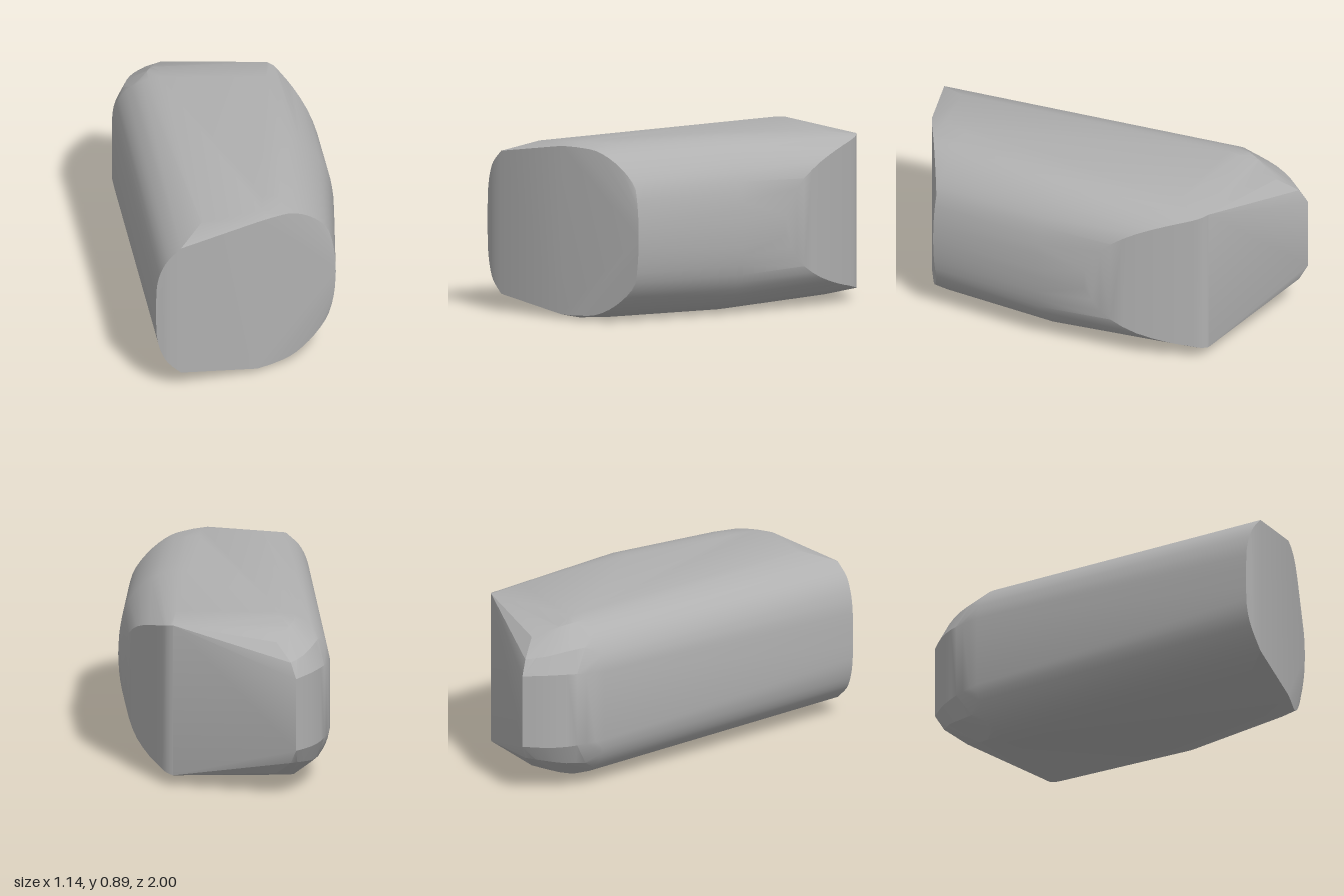
import * as THREE from 'three';
import { ConvexGeometry } from 'three/addons/geometries/ConvexGeometry.js';
import { toCreasedNormals } from 'three/addons/utils/BufferGeometryUtils.js';

const MID = 0.4475; // height of the horizontal symmetry plane

export function createModel() {
  const stone = new THREE.MeshStandardMaterial({ color: 0xb0b0b0 });
  stone.name = 'grey';
  const points = [];

  // adds a point and its twin mirrored in the middle plane
  const add = (x, y, z) => {
    points.push(new THREE.Vector3(x, y, z), new THREE.Vector3(x, 2 * MID - y, z));
  };
  // adds a smooth rim through a few points
  const rim = (list, steps = 12) => {
    const curve = new THREE.CatmullRomCurve3(list.map((p) => new THREE.Vector3(...p)), false, 'centripetal');
    curve.getPoints(steps).forEach((p) => add(p.x, p.y, p.z));
  };

  // front face: left part, ridge and slanted right part
  rim([[-0.325, 0.5, 1], [-0.32, 0.6, 1], [-0.3, 0.68, 1], [-0.265, 0.745, 0.999], [-0.2, 0.81, 0.985]]);
  [[0.18, 0.875, 0.83], [-0.1, 0.865, 0.82], [0.2, 0.893, 0.74]].forEach((p) => add(...p));
  const slant = (x) => 0.82 - 0.685 * (x - 0.2);
  const side = [[0.25, 0.875], [0.35, 0.862], [0.45, 0.8], [0.53, 0.7], [0.56, 0.57], [0.566, 0.4475]];
  rim(side.map(([x, y]) => [x, y, slant(x)]), 16);

  // rounded long side, narrowing slightly towards the middle
  const arc = [[0.2, 0.895], [0.28, 0.888], [0.37, 0.86], [0.46, 0.795], [0.53, 0.7], [0.562, 0.57], [0.57, 0.4475]];
  rim(arc.map(([x, y]) => [x, y, 0.6 - 0.03 * (x - 0.2)]), 16);
  rim(arc.map(([x, y]) => [0.2 + (x - 0.2) * 0.95, y, 0]), 16);

  // upright curved wall leading to the back corner
  rim([[0.51, 0.5, -0.26], [0.475, 0.64, -0.35], [0.42, 0.73, -0.48], [0.335, 0.79, -0.635],
    [0.27, 0.817, -0.735], [0.235, 0.832, -0.78], [0.2, 0.84, -0.8]], 14);
  add(0.2, 0.862, -0.62);

  // opposite flat side, at its rear end
  rim([[-0.57, 0.5, -0.6], [-0.57, 0.63, -0.6], [-0.555, 0.7, -0.6], [-0.52, 0.765, -0.6],
    [-0.47, 0.815, -0.6], [-0.4, 0.852, -0.6], [-0.33, 0.866, -0.6]], 14);

  // rounded rear corner and back tip
  rim([[-0.572, 0.63, -0.6], [-0.566, 0.635, -0.7], [-0.545, 0.64, -0.8], [-0.505, 0.64, -0.9], [-0.44, 0.635, -1]], 8);
  rim([[-0.52, 0.755, -0.68], [-0.5, 0.745, -0.78], [-0.465, 0.725, -0.88], [-0.41, 0.71, -0.965]], 6);
  rim([[-0.4, 0.85, -0.68], [-0.38, 0.835, -0.75], [-0.33, 0.79, -0.88]], 4);
  add(-0.33, 0.862, -0.66);

  const body = new THREE.Mesh(toCreasedNormals(new ConvexGeometry(points), 0.4), stone);
  body.name = 'body';
  const group = new THREE.Group();
  group.name = 'roundedBlock';
  group.add(body);
  return group;
}
